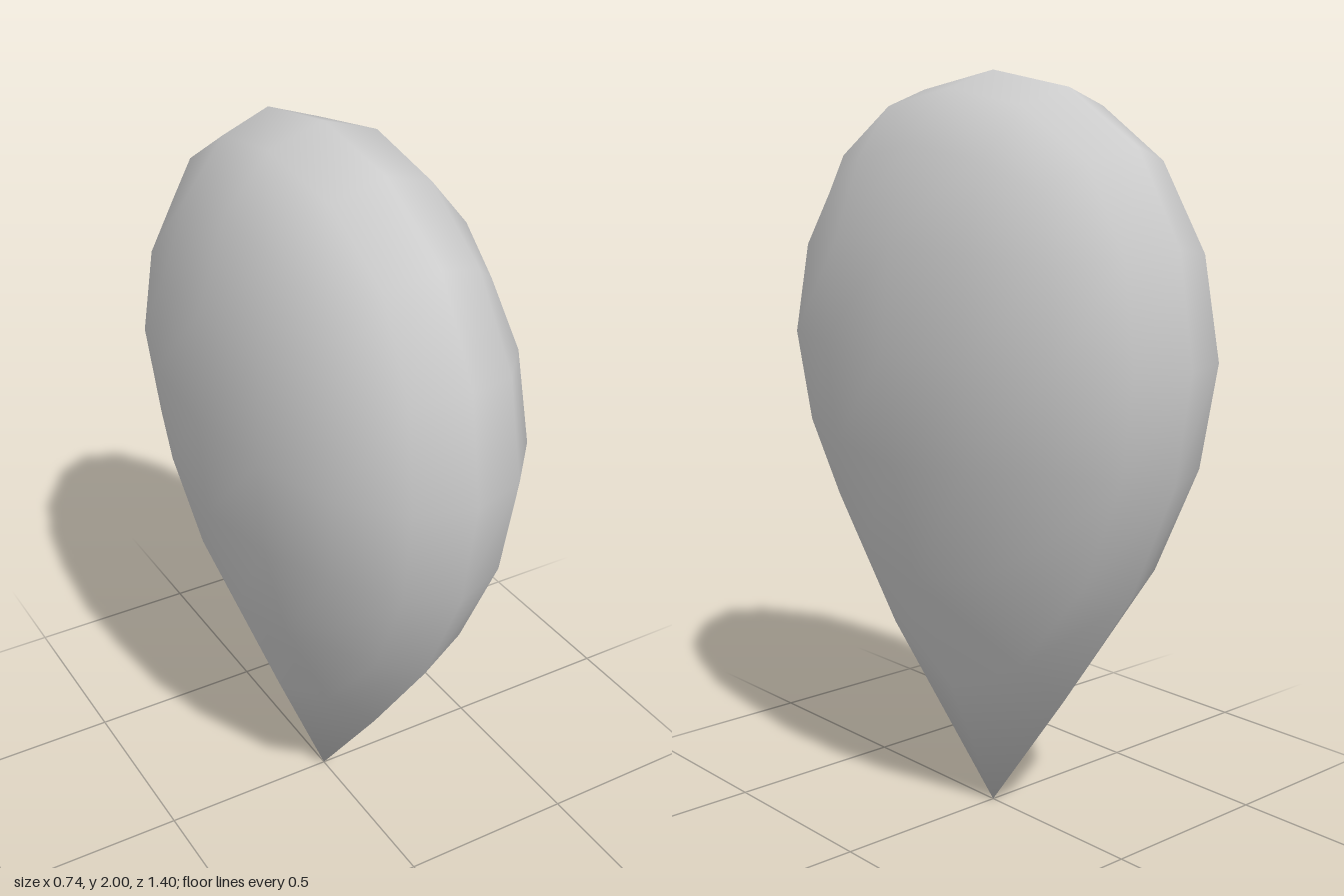
import * as THREE from 'three';
import { mergeVertices } from 'three/addons/utils/BufferGeometryUtils.js';

// Rounded positions for a 4x4x4 grid cube, keyed by the sorted grid steps.
// Each entry gives the coordinate for a step of 0, 1 and 2.
const ROUNDED = {
  '200': [0, 0, 1],
  '210': [0, 0.399, 0.933],
  '220': [0, 0, 0.733],
  '211': [0, 0.371, 0.87],
  '221': [0, 0.344, 0.682],
  '222': [0, 0, 0.58],
};

const HALF_WIDTH = 0.372, RADIUS = 0.7, CENTRE_Y = 1.3;
const PULL = 0.6, REACH = 1.28; // how far the tip is drawn down, and how widely

function createDropGeometry() {
  const box = new THREE.BoxGeometry(4, 4, 4, 4, 4, 4);
  box.deleteAttribute('uv');
  box.deleteAttribute('normal');
  const geometry = mergeVertices(box);
  const pos = geometry.attributes.position;

  for (let i = 0; i < pos.count; i++) {
    const grid = [pos.getX(i), pos.getY(i), pos.getZ(i)].map(Math.round);
    const key = grid.map(Math.abs).sort((a, b) => b - a).join('');
    const [x, y, z] = grid.map((g) => Math.sign(g) * ROUNDED[key][Math.abs(g)]);

    // Draw the underside down to a point, fading with distance from the tip
    const t = Math.max(0, 1 - Math.hypot(x, y + 1, z) / REACH);
    pos.setXYZ(i, x * HALF_WIDTH, CENTRE_Y + y * RADIUS - PULL * t * t, z * RADIUS);
  }
  geometry.computeVertexNormals();
  return geometry;
}

export function createModel() {
  const group = new THREE.Group();
  group.name = 'flattenedDrop';

  // Single smooth, flattened teardrop with its point at the bottom
  const body = new THREE.Mesh(
    createDropGeometry(),
    new THREE.MeshStandardMaterial({ color: 0xcccccc })
  );
  body.name = 'dropBody';
  group.add(body);
  return group;
}
